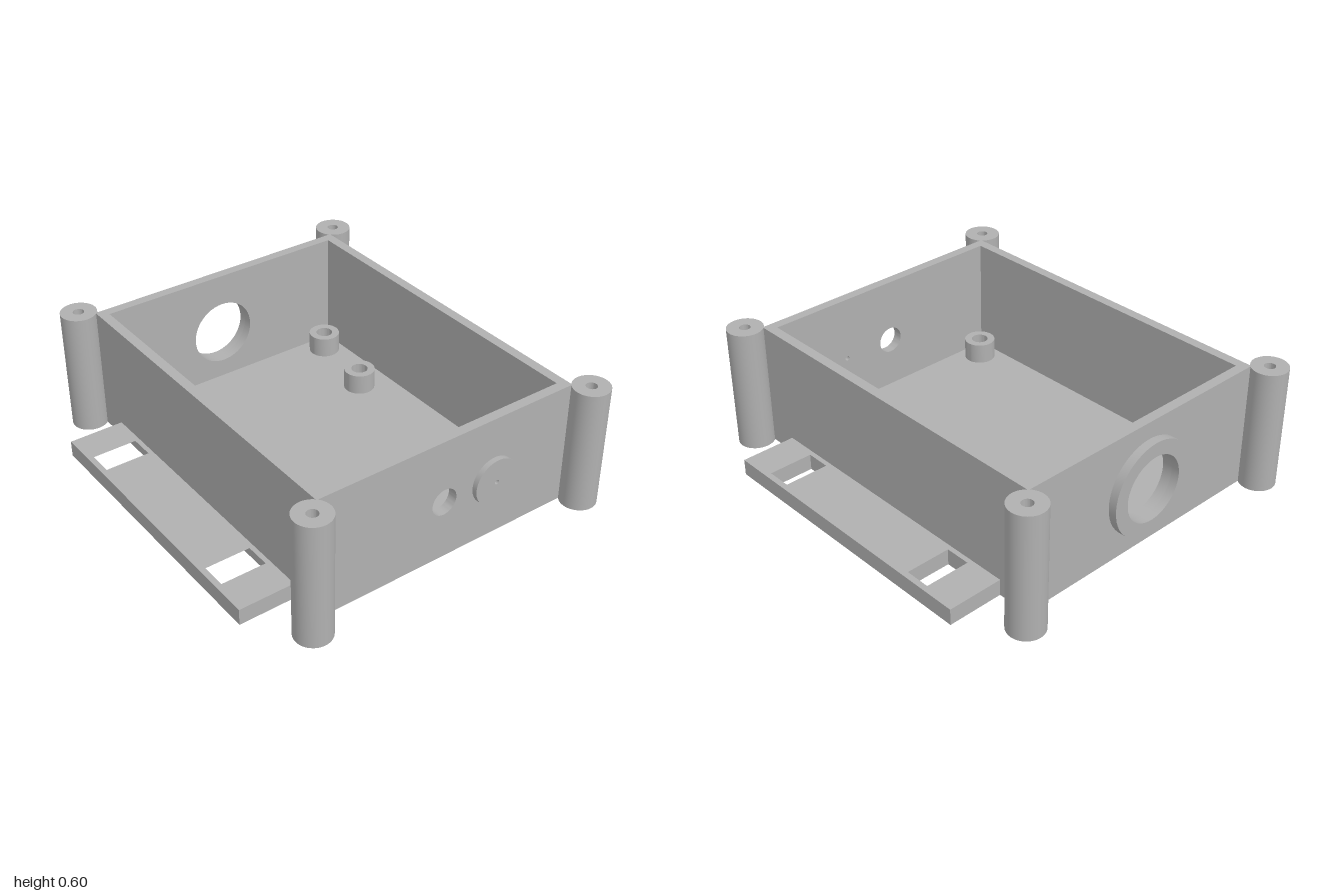
import * as THREE from 'three';
import { toCreasedNormals } from 'three/addons/utils/BufferGeometryUtils.js';

const HX = 0.86, HZ = 0.667, H = 0.6, WALL = 0.047, FLOOR = 0.045;
const PORT_Y = 0.29;

export function createModel() {
  const model = new THREE.Group();
  model.name = 'enclosure';
  const grey = new THREE.MeshStandardMaterial({ color: 0xb0b0b0 });
  grey.name = 'grey plastic';

  const add = (name, geometry, x = 0, y = 0, z = 0) => {
    const mesh = new THREE.Mesh(geometry, grey);
    mesh.name = name;
    mesh.position.set(x, y, z);
    model.add(mesh);
    return mesh;
  };
  const rect = (Type, x0, y0, x1, y1) => new Type([
    new THREE.Vector2(x0, y0), new THREE.Vector2(x1, y0),
    new THREE.Vector2(x1, y1), new THREE.Vector2(x0, y1),
  ]);
  const circle = (Type, x, y, r) => new Type().absarc(x, y, r, 0, Math.PI * 2, false);
  const extrude = (shape, depth) => toCreasedNormals(
    new THREE.ExtrudeGeometry(shape, { depth, bevelEnabled: false, curveSegments: 24 }), 0.5);
  // Side pieces are drawn in (-z, y) and extruded towards +x
  const sidePiece = (name, shape, holes, x, depth) => {
    shape.holes.push(...holes.map(([z, r]) => circle(THREE.Path, -z, PORT_Y, r)));
    add(name, extrude(shape, depth).rotateY(Math.PI / 2), x);
  };
  const lathe = (points) => toCreasedNormals(
    new THREE.LatheGeometry(points.map(([r, y]) => new THREE.Vector2(r, y)), 48), 0.5);

  // Floor, front and back walls
  add('floor', new THREE.BoxGeometry(HX * 2, FLOOR, HZ * 2), 0, FLOOR / 2, 0);
  for (const s of [1, -1]) {
    add(s > 0 ? 'frontWall' : 'backWall',
      new THREE.BoxGeometry(HX * 2, H - FLOOR, WALL), 0, (H + FLOOR) / 2, s * (HZ - WALL / 2));
  }

  // Side walls with their ports
  const wall = () => rect(THREE.Shape, -(HZ - WALL), FLOOR, HZ - WALL, H);
  const bigPort = [0.018, 0.158], smallPort = [0.02, 0.064], pinhole = [-0.245, 0.011];
  sidePiece('leftWall', wall(), [smallPort, pinhole], HX - WALL, WALL);
  sidePiece('rightWall', wall(), [bigPort], -HX, WALL);

  // Raised collar and disc on the outside of the side walls
  sidePiece('portCollar', circle(THREE.Shape, -bigPort[0], PORT_Y, 0.228), [bigPort], -0.9, 0.04);
  sidePiece('sensorDisc', circle(THREE.Shape, -pinhole[0], PORT_Y, 0.113), [pinhole], HX, 0.025);

  // Mounting flanges with strap slots
  for (const s of [1, -1]) {
    const flange = rect(THREE.Shape, -0.705, -s * HZ, 0.705, -s * 0.933);
    for (const x of [-0.475, 0.475]) {
      flange.holes.push(rect(THREE.Path, x - 0.06, -s * 0.69, x + 0.06, -s * 0.905));
    }
    add(s > 0 ? 'frontFlange' : 'backFlange', extrude(flange, 0.078).rotateX(-Math.PI / 2));
  }

  // Corner screw posts with blind holes
  const post = lathe([[0, 0], [0.085, 0], [0.085, H], [0.026, H], [0.026, 0.3], [0, 0.3]]);
  for (const x of [-0.915, 0.915]) {
    for (const z of [-0.725, 0.725]) add('screwPost', post, x, 0, z);
  }

  // Hollow standoffs on the floor
  const standoff = lathe([[0.075, 0], [0.075, 0.1], [0.04, 0.1], [0.04, 0]]);
  const spots = [[-0.715, -0.525], [0.715, -0.525], [-0.715, 0.52], [0.715, 0.52], [-0.335, -0.46]];
  for (const [x, z] of spots) add('standoff', standoff, x, FLOOR, z);

  return model;
}
